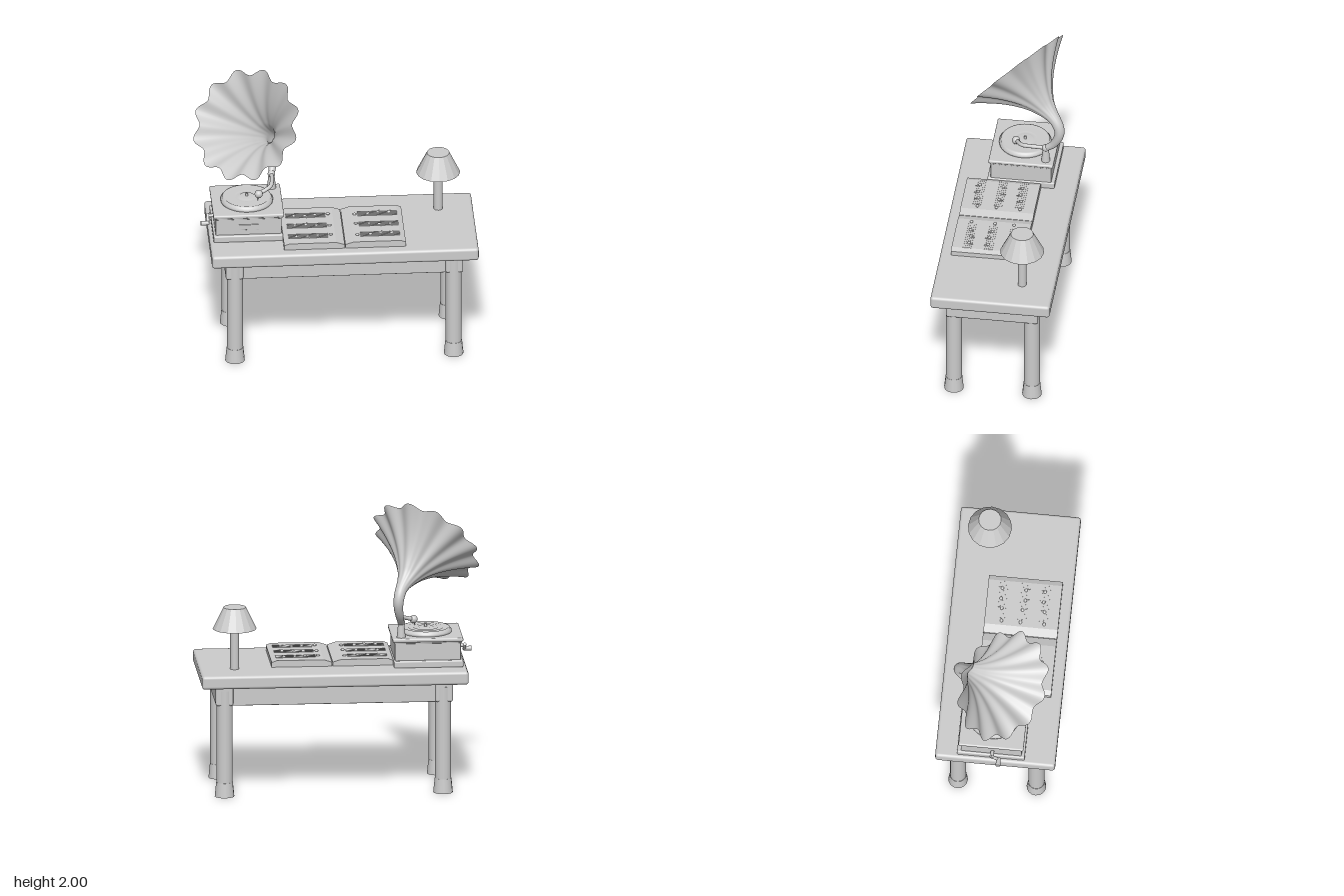
import * as THREE from 'three';
import { RoundedBoxGeometry } from 'three/addons/geometries/RoundedBoxGeometry.js';

const V = (x, y, z) => new THREE.Vector3(x, y, z);

export function createModel() {
  const model = new THREE.Group();
  const clay = new THREE.MeshStandardMaterial({ color: 0xcccccc });
  clay.name = 'clay grey';
  const horn = clay;
  horn.side = THREE.DoubleSide;

  const add = (name, geo, x = 0, y = 0, z = 0, parent = model) => {
    const m = new THREE.Mesh(geo, clay);
    m.name = name;
    m.position.set(x, y, z);
    parent.add(m);
    return m;
  };
  // box given by its limits on each axis, with rounded edges
  const block = (name, x0, x1, y0, y1, z0, z1, r = 0.006, parent = model) =>
    add(name, new RoundedBoxGeometry(x1 - x0, y1 - y0, z1 - z0, 3, r),
      (x0 + x1) / 2, (y0 + y1) / 2, (z0 + z1) / 2, parent);
  // round bar between two points
  const bar = (name, a, b, r0, r1 = r0, parent = model) => {
    const d = b.clone().sub(a);
    const m = add(name, new THREE.CylinderGeometry(r1, r0, d.length(), 16), 0, 0, 0, parent);
    m.position.copy(a).addScaledVector(d, 0.5);
    m.quaternion.setFromUnitVectors(V(0, 1, 0), d.normalize());
    return m;
  };
  const group = (name) => {
    const g = new THREE.Group();
    g.name = name;
    model.add(g);
    return g;
  };

  // Table: top, apron, end boards and four legs with flared feet
  const table = group('table');
  block('tableTop', -0.86, 0.96, 0.78, 0.872, -0.41, 0.41, 0.02, table);
  block('apron', -0.7, 0.8, 0.64, 0.79, -0.3, 0.3, 0.004, table);
  for (const s of [-1, 1]) {
    const cx = 0.05 + s * 0.75;
    block('endBoard', cx - 0.06, cx + 0.06, 0.64, 0.79, -0.315, 0.315, 0.015, table);
    for (const t of [-1, 1]) {
      const x = 0.051 + s * 0.746, z = t * 0.268;
      bar('leg', V(x, 0.1, z), V(x, 0.745, z), 0.055, 0.055, table);
      bar('foot', V(x, 0, z), V(x, 0.1, z), 0.067, 0.057, table);
    }
  }

  // Lamp
  const lamp = group('lamp');
  bar('lampStand', V(0.722, 0.865, -0.19), V(0.722, 1.17, -0.19), 0.03, 0.03, lamp);
  add('lampShade', new THREE.CylinderGeometry(0.077, 0.15, 0.15, 16).toNonIndexed(), 0.722, 1.23, -0.19, lamp)
    .geometry.computeVertexNormals();

  // Open music book: two mirrored pages with staves and notes
  const book = group('musicBook');
  for (const s of [-1, 1]) {
    const shape = new THREE.Shape();
    [[0.002, 0.872], [0.415, 0.872], [0.415, 0.905], [0.38, 0.918], [0.06, 0.918], [0.002, 0.9]]
      .forEach(([x, y], i) => (i ? shape.lineTo(s * x, y) : shape.moveTo(s * x, y)));
    const geo = new THREE.ExtrudeGeometry(shape, { depth: 0.505, bevelEnabled: false });
    add('page', geo, 0.052, 0, -0.17, book);
    for (let row = 0; row < 3; row++) {
      const z = -0.062 + row * 0.146;
      for (let k = -2; k <= 2; k++)
        add('staffLine', new THREE.BoxGeometry(0.27, 0.006, 0.005), 0.052 + s * 0.245, 0.919, z + k * 0.013, book);
      [[0.09, 0.008], [0.18, 0.002], [0.25, -0.01], [0.325, -0.008]].forEach(([x, dz], i) => {
        const flip = row === 1 ? -1 : 1;
        const note = add('note', new THREE.SphereGeometry(0.012, 10, 8), 0.052 + s * x, 0.922, z + s * flip * dz, book);
        note.scale.set(1.1, 0.7, 0.9);
        if (i) add('noteStem', new THREE.BoxGeometry(0.005, 0.005, 0.03),
          0.052 + s * x + 0.01, 0.922, z + s * flip * (dz - 0.012), book);
      });
    }
  }

  // Player cabinet
  const player = group('player');
  const cx = -0.595, cz = -0.03;
  block('plinth', -0.835, -0.362, 0.868, 0.918, -0.262, 0.2, 0.01, player);
  block('cabinet', -0.82, -0.37, 0.91, 1.05, -0.238, 0.178, 0.008, player);
  block('lidMoulding', -0.826, -0.364, 1.035, 1.05, -0.243, 0.183, 0.005, player);
  block('lid', -0.836, -0.354, 1.046, 1.072, -0.252, 0.192, 0.01, player);
  block('frontPlate', -0.662, -0.527, 0.955, 0.995, 0.174, 0.183, 0.003, player);

  // Turntable and grooved record
  const profile = [[0, 1.065], [0.178, 1.065], [0.178, 1.085], [0.168, 1.09], [0.168, 1.1], [0.155, 1.104],
    [0.15, 1.099], [0.12, 1.103], [0.115, 1.099], [0.085, 1.103], [0.08, 1.099], [0.055, 1.1], [0.05, 1.105], [0, 1.105]];
  add('turntable', new THREE.LatheGeometry(profile.map(([x, y]) => new THREE.Vector2(x, y)), 40), cx, 0, cz, player);
  bar('spindle', V(cx, 1.1, cz), V(cx, 1.125, cz), 0.01, 0.008, player);

  // Crank
  bar('crankShaft', V(-0.81, 0.965, -0.02), V(-0.87, 0.965, -0.02), 0.012, 0.012, player);
  bar('crankArm', V(-0.863, 0.975, -0.03), V(-0.863, 0.925, 0.03), 0.011, 0.011, player);
  bar('crankHandle', V(-0.855, 0.932, 0.025), V(-0.912, 0.932, 0.025), 0.014, 0.017, player);

  // Tone arm on its post
  bar('armPost', V(-0.415, 1.068, -0.195), V(-0.415, 1.175, -0.195), 0.031, 0.02, player);
  add('postCap', new THREE.SphereGeometry(0.026, 16, 12), -0.415, 1.178, -0.195, player);
  const armPath = new THREE.CatmullRomCurve3([V(-0.415, 1.178, -0.195), V(-0.418, 1.178, -0.1),
    V(-0.435, 1.17, -0.03), V(-0.51, 1.145, 0.018)]);
  add('toneArm', new THREE.TubeGeometry(armPath, 20, 0.014, 10), 0, 0, 0, player);
  add('soundHead', new THREE.SphereGeometry(0.028, 16, 12), -0.517, 1.143, 0.023, player);
  bar('needle', V(-0.52, 1.14, 0.028), V(-0.525, 1.1, 0.035), 0.006, 0.002, player);

  // Horn: curved neck that opens into a fluted bell
  const axis = V(-0.44, 0.6, 0.66).normalize(), mouth = V(-0.605, 1.685, 0.03), bell = 0.47;
  const along = (d) => mouth.clone().addScaledVector(axis, -d);
  const path = new THREE.CatmullRomCurve3([V(-0.415, 1.178, -0.2), V(-0.402, 1.225, -0.25), V(-0.39, 1.295, -0.285),
    V(-0.39, 1.35, -0.293), along(0.45), along(0.3), along(0.15), along(0)]);
  const rings = 48, sides = 144, len = path.getLength();
  const frames = path.computeFrenetFrames(rings, false);
  const pos = [], index = [];
  for (let i = 0; i <= rings; i++) {
    const c = path.getPointAt(i / rings);
    const s = (i / rings * len - (len - bell)) / bell;
    const r = s < 0 ? 0.038 + 0.016 * s * bell / (len - bell) : 0.038 + 0.332 * Math.pow(s, 1.9);
    for (let j = 0; j < sides; j++) {
      const a = j / sides * Math.PI * 2;
      const q = r * (1 + 0.07 * Math.max(0, s) * Math.cos(12 * a));
      const p = c.clone().addScaledVector(frames.normals[i], q * Math.cos(a))
        .addScaledVector(frames.binormals[i], q * Math.sin(a));
      pos.push(p.x, p.y, p.z);
      if (i < rings) {
        const k = (j + 1) % sides, A = i * sides + j, B = i * sides + k;
        index.push(A, B, A + sides, B, B + sides, A + sides);
      }
    }
  }
  const hornGeo = new THREE.BufferGeometry();
  hornGeo.setAttribute('position', new THREE.Float32BufferAttribute(pos, 3));
  hornGeo.setIndex(index);
  hornGeo.computeVertexNormals();
  add('horn', hornGeo, 0, 0, 0, player);

  return model;
}
